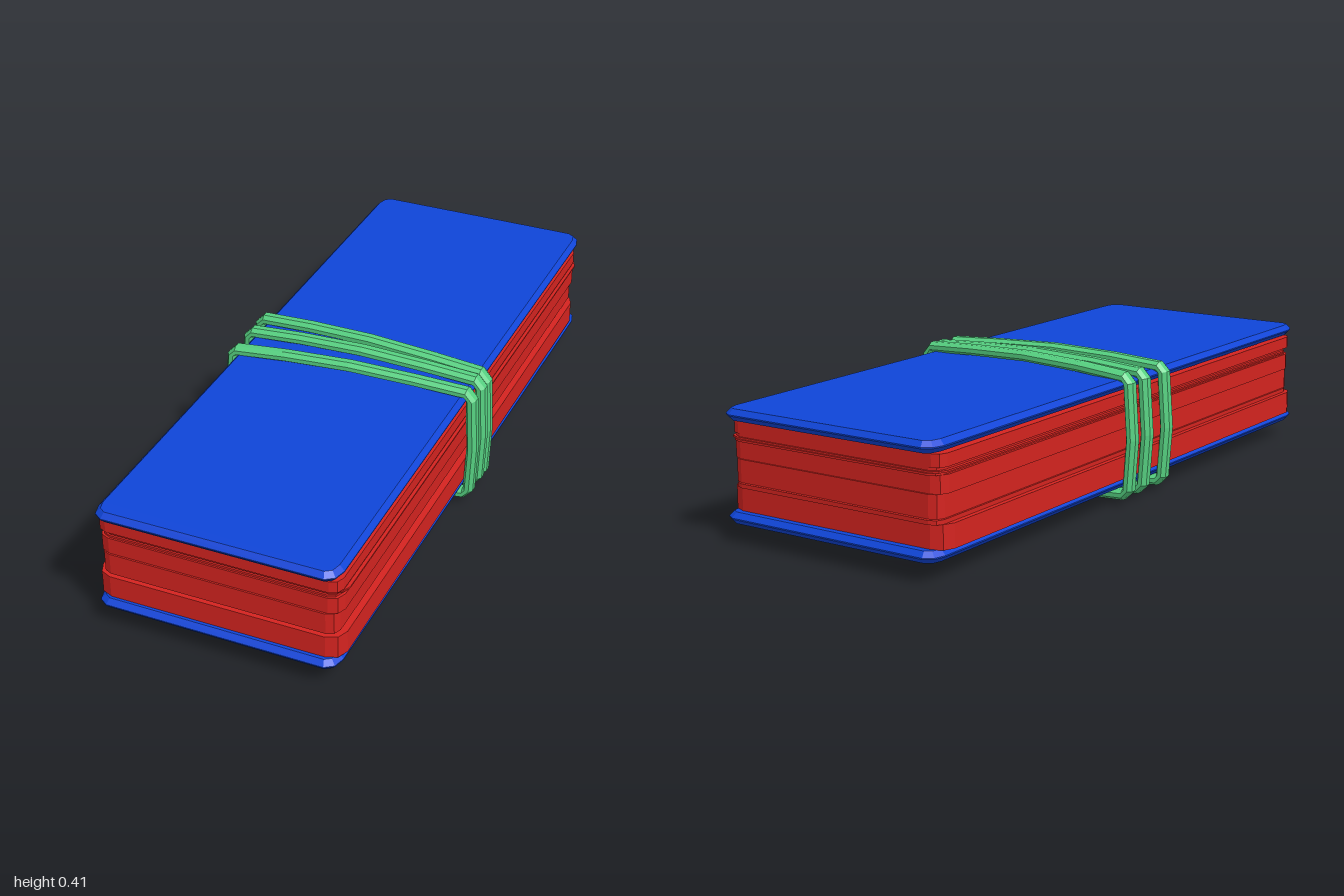
import * as THREE from 'three';

const material = (color) => new THREE.MeshStandardMaterial({ color, flatShading: true });

// Flat slab with cut corners, lying between y0 and y1
function slab(name, mat, x0, x1, z0, z1, y0, y1, cutX, cutZ, bevel = 0) {
  const s = new THREE.Shape();
  const a = x0 + bevel, b = x1 - bevel, c = -z1 + bevel, d = -z0 - bevel;
  [[a + cutX, c], [b - cutX, c], [b - cutX * 0.3, c + cutZ * 0.3], [b, c + cutZ],
    [b, d - cutZ], [b - cutX * 0.3, d - cutZ * 0.3], [b - cutX, d], [a + cutX, d],
    [a + cutX * 0.3, d - cutZ * 0.3], [a, d - cutZ], [a, c + cutZ], [a + cutX * 0.3, c + cutZ * 0.3],
  ].forEach(([x, y], i) => (i ? s.lineTo(x, y) : s.moveTo(x, y)));
  s.closePath();
  const t = bevel ? (y1 - y0) * 0.45 : 0;
  const geo = new THREE.ExtrudeGeometry(s, {
    depth: y1 - y0 - 2 * t, bevelEnabled: bevel > 0, bevelThickness: t, bevelSize: bevel, bevelSegments: 1,
  });
  geo.rotateX(-Math.PI / 2).translate(0, y0 + t, 0);
  const mesh = new THREE.Mesh(geo, mat);
  mesh.name = name;
  return mesh;
}

// Closed loop in the xy plane, skewed in z from its left side to its right side
function band(mat, zLeft, zRight, grow) {
  const path = [
    [0.381, 0.2], [0.374, 0.365], [0.358, 0.385], [0.2, 0.393], [0, 0.399], [-0.2, 0.392], [-0.358, 0.38],
    [-0.372, 0.365], [-0.384, 0.2], [-0.373, 0.05], [-0.358, 0.035], [-0.2, 0.026], [0, 0.018],
    [0.2, 0.026], [0.358, 0.035], [0.374, 0.053],
  ];
  const n = path.length, sides = 8, pos = [], index = [];
  path.forEach(([x, y], i) => {
    const p = path[(i + n - 1) % n], q = path[(i + 1) % n];
    const out = new THREE.Vector2(q[1] - p[1], p[0] - q[0]).normalize();
    const z = THREE.MathUtils.lerp(zLeft, zRight, (x + 0.38) / 0.76);
    for (let j = 0; j < sides; j++) {
      const a = ((j + 0.5) / sides) * Math.PI * 2;
      const r = Math.cos(a) * 0.017 + grow;
      pos.push(x + out.x * r, y + out.y * r, z + Math.sin(a) * 0.025);
      const k = (j + 1) % sides, m = ((i + 1) % n) * sides;
      index.push(i * sides + j, m + j, m + k, i * sides + j, m + k, i * sides + k);
    }
  });
  const geo = new THREE.BufferGeometry();
  geo.setAttribute('position', new THREE.Float32BufferAttribute(pos, 3));
  geo.setIndex(index);
  geo.computeVertexNormals();
  const mesh = new THREE.Mesh(geo, mat);
  mesh.name = 'elasticBand';
  return mesh;
}

export function createModel() {
  const model = new THREE.Group();
  const blue = material(0x0f45d8), red = material(0xd4231f), green = material(0x55cf80);

  // Outer boards
  const bottom = slab('bottomBoard', blue, -0.36, 0.356, -0.998, 0.998, 0.053, 0.086, 0.025, 0.04, 0.014);
  bottom.rotation.y = -0.003;
  model.add(bottom, slab('topBoard', blue, -0.358, 0.356, -1, 0.995, 0.341, 0.374, 0.025, 0.04, 0.014));

  // Stack of loose layers: left, right, back, front, bottom, top, corner cut
  const stack = new THREE.Group();
  stack.name = 'stack';
  [
    [-0.368, 0.358, -0.965, 0.975, 0.085, 0.153, 0.045],
    [-0.354, 0.336, -0.975, 0.96, 0.153, 0.165, 0.03],
    [-0.348, 0.345, -0.965, 0.975, 0.165, 0.23, 0.03],
    [-0.356, 0.355, -0.96, 0.97, 0.23, 0.28, 0.035],
    [-0.348, 0.346, -0.97, 0.965, 0.28, 0.286, 0.03],
    [-0.356, 0.36, -0.965, 0.95, 0.286, 0.291, 0.035],
    [-0.345, 0.35, -0.96, 0.965, 0.291, 0.3, 0.03],
    [-0.356, 0.354, -0.962, 0.972, 0.3, 0.336, 0.03],
  ].forEach(([x0, x1, z0, z1, y0, y1, cut]) => {
    stack.add(slab('stackLayer', red, x0, x1, z0, z1, y0, y1, cut, cut));
  });
  model.add(stack);

  // Elastic bands wrapped around the middle
  model.add(band(green, -0.083, -0.04, 0.001), band(green, 0, 0, 0), band(green, 0.113, 0.072, -0.001));
  return model;
}
